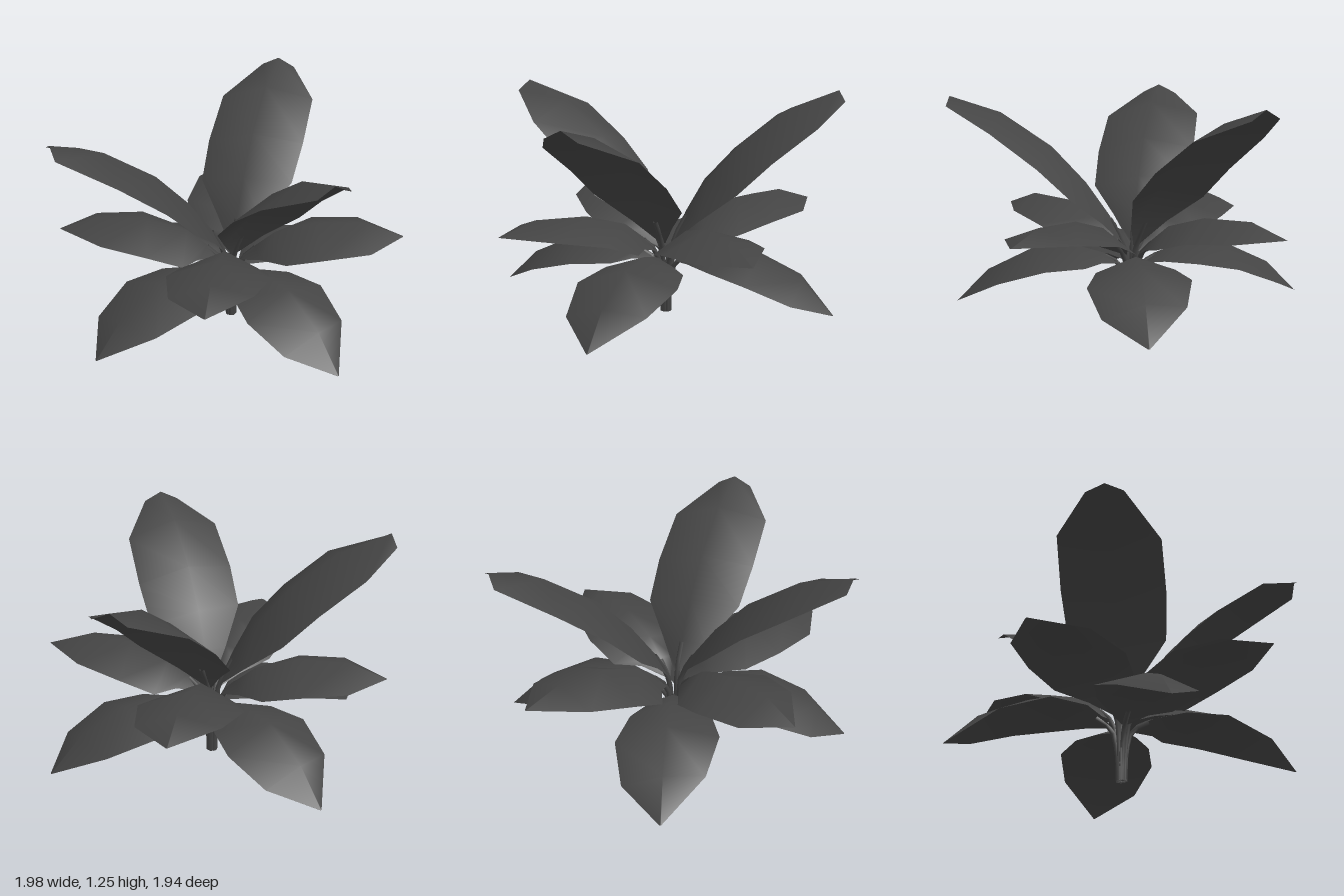
import * as THREE from 'three';

const CENTRE = new THREE.Vector3(0.035, 0, -0.055);

// Leaf tiers: rows run from leaf base to tip as [reach, midrib height, half width, edge droop]
const TIERS = [
  {
    name: 'lowerLeaf', angles: [79, 162, 248, 346], skew: 0.035,
    rows: [[0.06, 0.31, 0.015, 0], [0.15, 0.37, 0.11, 0.04], [0.29, 0.41, 0.22, 0.08],
      [0.54, 0.41, 0.28, 0.1], [0.81, 0.28, 0.22, 0.07], [0.985, 0.1, 0.004, 0]],
  },
  {
    name: 'middleLeaf', angles: [29, 122, 205, 296], skew: 0.035,
    rows: [[0.06, 0.37, 0.015, 0], [0.14, 0.46, 0.11, 0.05], [0.25, 0.55, 0.24, 0.11],
      [0.48, 0.62, 0.28, 0.1], [0.77, 0.63, 0.22, 0.08], [0.98, 0.555, 0.004, 0]],
  },
  {
    name: 'upperLeaf', angles: [85, 181, 311], skew: 0.025,
    rows: [[0.04, 0.42, 0.018, 0], [0.12, 0.58, 0.13, 0.04], [0.255, 0.77, 0.27, 0.08],
      [0.445, 0.97, 0.285, 0.1], [0.73, 1.16, 0.275, 0.09], [1.02, 1.25, 0.1, 0.05]],
  },
];

// Folded blade: three points per row (edge, midrib, edge)
function bladeGeometry(rows, skew, point) {
  const positions = [], index = [];
  rows.forEach(([reach, height, half, droop], i) => {
    const last = i === rows.length - 1;
    const a = rows[Math.max(i - 1, 0)], b = rows[Math.min(i + 1, rows.length - 1)];
    const len = Math.hypot(b[0] - a[0], b[1] - a[1]);
    const tr = (b[0] - a[0]) / len, ty = (b[1] - a[1]) / len;
    for (const side of [-1, 0, 1]) {
      // Edges fall away from the midrib; one side runs slightly further out
      const d = side ? droop : 0;
      const shift = i > 1 && !last ? side * skew : 0;
      const r = reach + (last ? 0 : ty * d) + tr * shift;
      const y = height - (last ? 1 : tr) * d + ty * shift;
      positions.push(...point(r, y, side * half).toArray());
    }
    if (last) return;
    for (let j = 0; j < 2; j++) {
      const p = i * 3 + j;
      index.push(p, p + 1, p + 3, p + 1, p + 4, p + 3);
    }
  });
  const geometry = new THREE.BufferGeometry();
  geometry.setAttribute('position', new THREE.Float32BufferAttribute(positions, 3));
  geometry.setIndex(index);
  geometry.computeVertexNormals();
  return geometry;
}

export function createModel() {
  const model = new THREE.Group();
  model.name = 'pottedPlantFoliage';
  const material = new THREE.MeshStandardMaterial({ color: 0x444444, side: THREE.DoubleSide });

  for (const { name, angles, skew, rows } of TIERS) {
    angles.forEach((degrees) => {
      const a = THREE.MathUtils.degToRad(degrees);
      const point = (r, y, s) => new THREE.Vector3(
        r * Math.cos(a) - s * Math.sin(a), y, r * Math.sin(a) + s * Math.cos(a)).add(CENTRE);

      const leaf = new THREE.Group();
      leaf.name = name;

      const blade = new THREE.Mesh(bladeGeometry(rows, skew, point), material);
      blade.name = 'blade';

      // Stalk rises from the ground and bends into the midrib
      const path = new THREE.CatmullRomCurve3([
        point(0.018, 0, 0), point(0.026, rows[0][1] * 0.55, 0),
        point(rows[0][0], rows[0][1] - 0.01, 0), point(rows[1][0], rows[1][1] - 0.015, 0)]);
      const stalk = new THREE.Mesh(new THREE.TubeGeometry(path, 6, 0.015, 5), material);
      stalk.name = 'stalk';

      leaf.add(blade, stalk);
      model.add(leaf);
    });
  }
  return model;
}
